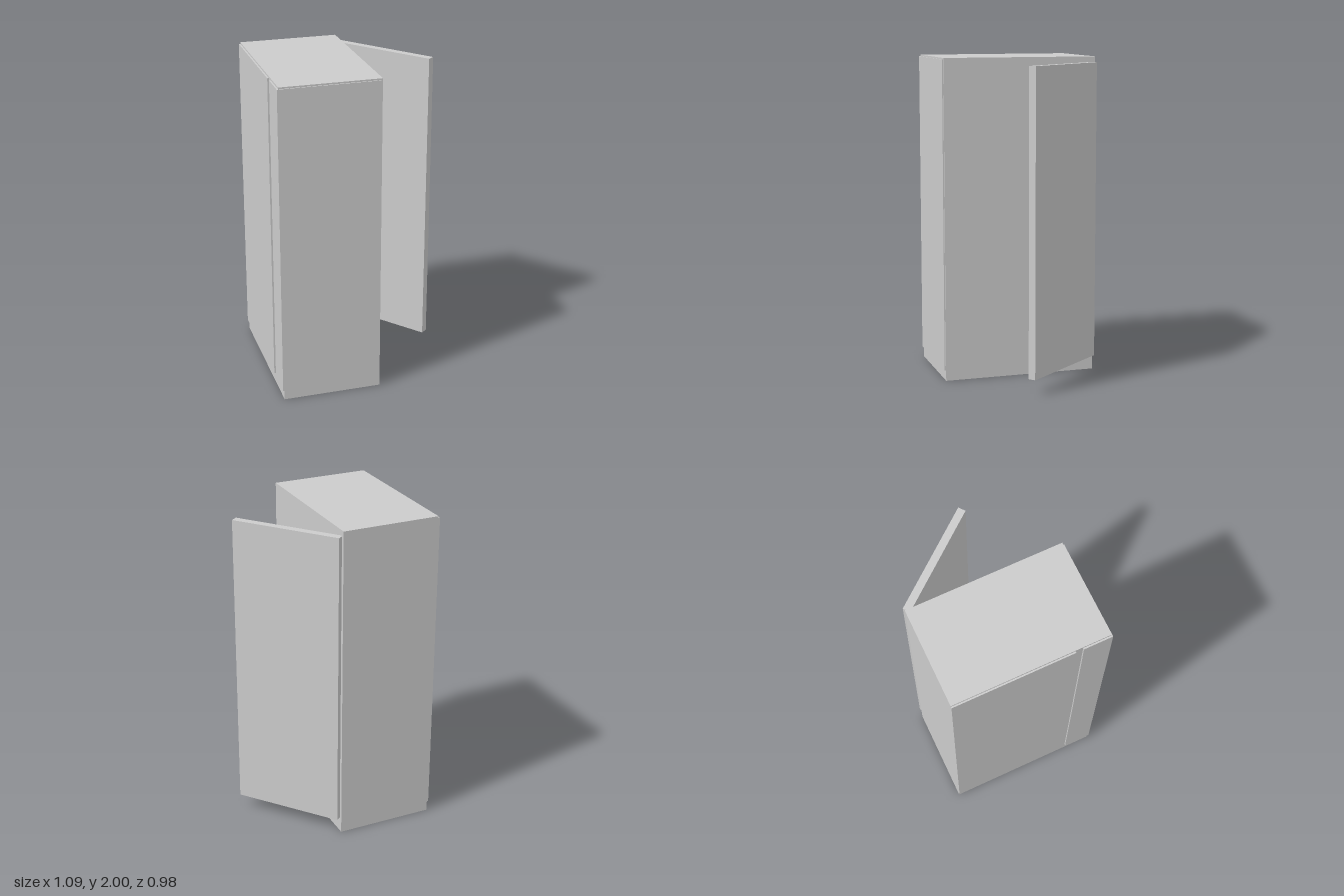
import * as THREE from 'three';

const material = new THREE.MeshStandardMaterial({ color: 0xcccccc });

// Box given by its minimum and maximum corners
function box(name, [x0, y0, z0], [x1, y1, z1]) {
  const mesh = new THREE.Mesh(new THREE.BoxGeometry(x1 - x0, y1 - y0, z1 - z0), material);
  mesh.name = name;
  mesh.position.set((x0 + x1) / 2, (y0 + y1) / 2, (z0 + z1) / 2);
  return mesh;
}

export function createModel() {
  const group = new THREE.Group();
  group.name = 'cabinet';

  // Main cabinet body, standing on the floor
  group.add(box('body', [-0.533, 0, -0.488], [0.079, 2, 0.481]));

  // Thin cladding panels, stopping above the plinth and just below the top
  const bottom = 0.065, top = 1.99;
  group.add(box('frontPanel', [-0.543, bottom, 0.481], [0.069, top, 0.488]));
  group.add(box('rearSidePanel', [-0.543, bottom, -0.488], [-0.533, top, 0.262]));
  group.add(box('frontSidePanel', [-0.543, bottom, 0.309], [-0.533, top, 0.481]));

  // Open door, hinged at the back left corner
  const door = box('door', [-0.0235, 0.095, -0.346], [0.0235, 1.965, 0.346]);
  door.position.x = 0.307;
  door.position.z = -0.206;
  door.rotation.y = Math.atan2(0.435, 0.538);
  group.add(door);

  return group;
}
